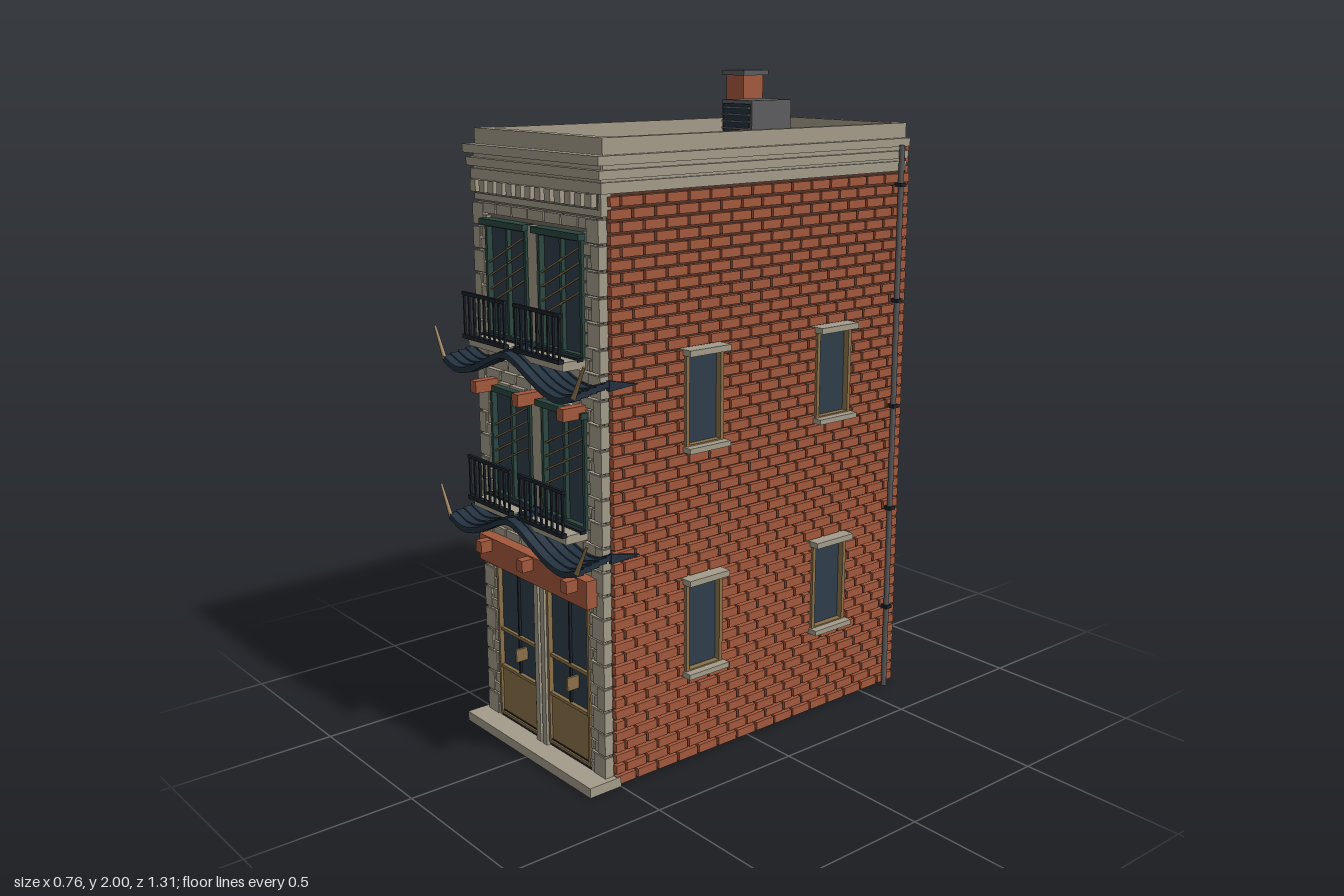
import * as THREE from 'three';
import { mergeGeometries } from 'three/addons/utils/BufferGeometryUtils.js';

const mat = (name, color) => Object.assign(new THREE.MeshStandardMaterial({ color }), { name });

export function createModel() {
  const root = new THREE.Group();
  root.name = 'townhouse';
  const brick = mat('brick', 0xa3583c), mortar = mat('brick mortar', 0x54342a);
  const stone = mat('stone', 0xa39b89), joint = mat('stone joint', 0x716b5f);
  const slate = mat('roof grey', 0x5c5c5e), glass = mat('window glass', 0x2e3d4a);
  const navy = mat('awning navy', 0x22303e), wood = mat('tan wood', 0x8a7048);
  const green = mat('frame green', 0x2a463f), iron = mat('black iron', 0x1b2128);

  const boxGeo = (x0, x1, y0, y1, z0, z1) => new THREE.BoxGeometry(x1 - x0, y1 - y0, z1 - z0)
    .translate((x0 + x1) / 2, (y0 + y1) / 2, (z0 + z1) / 2);
  const add = (name, geo, m, parent = root) => {
    const mesh = new THREE.Mesh(Array.isArray(geo) ? mergeGeometries(geo) : geo, m);
    mesh.name = name;
    parent.add(mesh);
    return mesh;
  };
  const box = (name, m, ...b) => add(name, boxGeo(...b), m);
  // rectangular frame of four bars in the xy plane
  const frameGeo = (x0, x1, y0, y1, z0, z1, t) => [
    boxGeo(x0, x0 + t, y0, y1, z0, z1), boxGeo(x1 - t, x1, y0, y1, z0, z1),
    boxGeo(x0 + t, x1 - t, y0, y0 + t, z0, z1), boxGeo(x0 + t, x1 - t, y1 - t, y1, z0, z1)];

  // running-bond courses in the xy plane, cut around openings [x0, x1, y0, y1]
  const courses = (x0, x1, y0, y1, holes, depth, pitch, len, gap) => {
    const out = [], rows = Math.round((y1 - y0) / pitch), h = (y1 - y0) / rows;
    for (let r = 0; r < rows; r++) {
      const b = y0 + r * h, mid = b + h / 2;
      for (let x = x0 - (r % 2) * len / 2; x < x1; x += len) {
        let spans = [[Math.max(x, x0), Math.min(x + len - gap, x1)]];
        for (const [h0, h1, v0, v1] of holes) {
          if (mid < v0 || mid > v1) continue;
          spans = spans.flatMap(([a, c]) => (c <= h0 || a >= h1) ? [[a, c]] : [[a, Math.min(c, h0)], [Math.max(a, h1), c]]);
        }
        for (const [a, c] of spans) if (c - a > 0.006) out.push(boxGeo(a, c, b, b + h - gap, 0, depth));
      }
    }
    return mergeGeometries(out);
  };

  // body, ground slab and flat roof
  box('wallCore', mortar, -0.306, 0.306, 0.004, 1.75, -0.64, 0.513);
  box('groundSlab', stone, -0.305, 0.305, 0, 0.02, -0.638, 0.51);
  box('doorStep', stone, -0.325, 0.325, 0, 0.03, 0.5, 0.61);
  box('roof', slate, -0.29, 0.29, 1.74, 1.76, -0.62, 0.5);

  // brick side and back walls with windows
  const floors = [[0.28, 0.57], [0.965, 1.247]];
  const sideWindows = [[0.12, 0.26], [-0.4, -0.255]];
  for (const s of [1, -1]) {
    const side = new THREE.Group();
    side.name = s > 0 ? 'leftWall' : 'rightWall';
    side.rotation.y = s * Math.PI / 2;
    side.position.x = s * 0.306;
    root.add(side);
    const holes = [];
    for (const [z0, z1] of sideWindows) for (const [y0, y1] of floors) {
      const u0 = s > 0 ? -z1 : z0, u1 = s > 0 ? -z0 : z1;
      holes.push([u0, u1, y0, y1]);
      add('sideGlass', boxGeo(u0, u1, y0, y1, 0, 0.004), glass, side);
      add('sideFrame', frameGeo(u0, u1, y0, y1, 0, 0.024, 0.012), wood, side);
      add('sideLintel', boxGeo(u0 - 0.006, u1 + 0.006, y1 - 0.01, y1 + 0.008, 0, 0.049), stone, side);
      add('sideSill', boxGeo(u0 - 0.006, u1 + 0.006, y0 - 0.008, y0 + 0.008, 0, 0.049), stone, side);
    }
    const ends = s > 0 ? [-0.513, 0.645] : [-0.645, 0.513];
    add('sideBricks', courses(...ends, 0.006, 1.7, holes, 0.016, 0.034, 0.078, 0.008), brick, side);

    // downpipe with clips
    add('downpipe', new THREE.CylinderGeometry(0.009, 0.009, 1.78, 10).translate(s * 0.335, 0.89, -0.595), slate);
    add('pipeClips', [0.28, 0.62, 0.96, 1.3, 1.66].map(y =>
      boxGeo(s * 0.333 - 0.014, s * 0.333 + 0.014, y - 0.006, y + 0.006, -0.607, -0.583)), iron);
  }
  const back = new THREE.Group();
  back.name = 'backWall';
  back.rotation.y = Math.PI;
  back.position.z = -0.64;
  root.add(back);
  const backHoles = floors.map(f => [-0.09, 0.09, ...f]);
  backHoles.forEach(h => add('backGlass', boxGeo(...h, 0, 0.005), glass, back));
  add('backBricks', courses(-0.31, 0.31, 0.006, 1.79, backHoles, 0.014, 0.034, 0.078, 0.008), brick, back);

  // stone front
  const bays = [[-0.237, -0.028], [0.028, 0.237]];
  const frontRows = [[0.03, 0.55], [0.76, 1.09], [1.25, 1.59]];
  box('frontBacking', joint, -0.303, 0.303, 0.02, 1.7, 0.505, 0.525);
  const frontHoles = bays.flatMap(b => frontRows.map(f => [...b, ...f]));
  frontHoles.push([-0.03, 0.03, 0.03, 1.6]);
  add('frontStones', courses(-0.305, 0.305, 0.03, 1.64, frontHoles, 0.016, 0.035, 0.08, 0.006).translate(0, 0, 0.524), stone);
  for (const s of [1, -1]) {
    const quoins = [];
    for (let i = 0; i < 23; i++) {
      const w = i % 2 ? 0.035 : 0.055;
      quoins.push(boxGeo(s > 0 ? 0.308 - w : -0.308, s > 0 ? 0.308 : w - 0.308, 0.03 + i * 0.07, 0.092 + i * 0.07, 0.515, 0.543));
    }
    add('cornerQuoins', quoins, stone);
    box('doorPilaster', stone, s * 0.016 - 0.01, s * 0.016 + 0.01, 0.03, 0.55, 0.52, 0.552);
  }
  for (const y of [0.76, 1.25]) box('windowPier', stone, -0.022, 0.022, y, y + 0.34, 0.52, 0.545);

  // cornice, dentils and parapet
  for (const [y0, y1, x, z] of [[1.7, 1.73, 0.318, 0.54], [1.738, 1.762, 0.325, 0.55], [1.775, 1.8, 0.331, 0.558], [1.64, 1.795, 0.309, 0.534]]) {
    box('corniceFront', stone, -x, x, y0, y1, 0.5, z);
    const b = Math.max(y0, 1.7);
    for (const s of [1, -1]) box('corniceSide', stone, Math.min(s * 0.29, s * x), Math.max(s * 0.29, s * x), b, y1, -0.635, 0.5);
  }
  const dentils = [];
  for (let i = 0; i < 13; i++) {
    const x = -0.282 + i * 0.047;
    dentils.push(boxGeo(x - 0.014, x + 0.014, 1.665, 1.7, 0.53, 0.556));
  }
  add('dentils', dentils, stone);
  box('dentilBed', joint, -0.3, 0.3, 1.658, 1.7, 0.53, 0.538);
  add('parapet', [boxGeo(-0.31, 0.31, 1.74, 1.845, 0.49, 0.528), boxGeo(-0.31, 0.31, 1.74, 1.845, -0.638, -0.61),
    boxGeo(-0.31, -0.284, 1.74, 1.845, -0.61, 0.49), boxGeo(0.284, 0.31, 1.74, 1.845, -0.61, 0.49)], stone);

  // chimney and roof unit
  box('chimney', brick, -0.194, -0.114, 1.75, 1.985, -0.428, -0.345);
  box('chimneyCap', slate, -0.205, -0.102, 1.984, 2, -0.44, -0.335);
  box('roofUnit', slate, 0.045, 0.175, 1.755, 1.92, -0.275, -0.118);
  box('roofUnitGrille', navy, 0.052, 0.168, 1.765, 1.91, -0.118, -0.114);
  add('grilleSlats', [0, 1, 2, 3, 4, 5, 6].map(i => boxGeo(0.052, 0.168, 1.775 + i * 0.02, 1.781 + i * 0.02, -0.115, -0.109)), slate);

  // double doors
  for (const [x0, x1] of bays) {
    const c = (x0 + x1) / 2;
    box('doorGlass', glass, x0, x1, 0.2, 0.55, 0.522, 0.53);
    box('doorPanel', wood, x0, x1, 0.05, 0.2, 0.522, 0.537);
    box('doorThreshold', iron, x0, x1, 0.03, 0.052, 0.522, 0.54);
    add('doorFrame', frameGeo(x0, x1, 0.04, 0.55, 0.52, 0.545, 0.009), wood);
    add('doorRails', [boxGeo(x0, x1, 0.318, 0.328, 0.52, 0.54), boxGeo(x0, x1, 0.195, 0.205, 0.52, 0.542)], wood);
    box('doorSplit', iron, c - 0.003, c + 0.003, 0.2, 0.55, 0.525, 0.538);
    box('doorHandle', wood, c + 0.026, c + 0.034, 0.26, 0.3, 0.53, 0.57);
  }

  // fascia board and beam ends
  box('fasciaBoard', brick, -0.275, 0.278, 0.547, 0.63, 0.52, 0.578);
  for (const y of [0.59, 1.085]) for (const x of [-0.22, 0, 0.22])
    box('beamEnd', brick, x - 0.015, x + 0.015, y, y + 0.036, 0.52, 0.616);

  // upper windows, balconies and swept eaves
  for (const y of [0.76, 1.25]) {
    for (const [x0, x1] of bays) {
      const c = (x0 + x1) / 2, top = y + 0.33;
      box('windowGlass', glass, x0, x1, y, top, 0.522, 0.53);
      add('windowFrame', [...frameGeo(x0, x1, y, top, 0.52, 0.548, 0.011), boxGeo(c - 0.005, c + 0.005, y, top, 0.52, 0.543)], green);
      box('windowHood', green, x0 - 0.008, x1 + 0.008, top - 0.006, top + 0.012, 0.52, 0.563);
      // slanted lattice strips
      add('windowLattice', [0.14, 0.18, 0.22, 0.26].map(d =>
        new THREE.BoxGeometry(0.205, 0.005, 0.004).rotateZ(0.45).translate(c, y + d, 0.541)), wood);
      // balcony slab and railing
      box('balconySlab', stone, x0, x1, y - 0.025, y, 0.53, 0.615);
      const bars = [boxGeo(x0 - 0.006, x1 + 0.006, y + 0.125, y + 0.135, 0.62, 0.63), boxGeo(x0 - 0.006, x1 + 0.006, y - 0.002, y + 0.01, 0.615, 0.632),
        boxGeo(x0 - 0.006, x1 + 0.006, y - 0.004, y + 0.006, 0.55, 0.568)];
      for (let i = 0; i <= 8; i++) {
        const x = x0 + (x1 - x0) * i / 8;
        bars.push(boxGeo(x - 0.003, x + 0.003, y, y + 0.13, 0.622, 0.628));
      }
      add('balconyRailing', bars, iron);
    }
    // eave: stepped courses along one swept curve
    const half = [[0, 0], [0.05, -0.012], [0.12, -0.044], [0.19, -0.072], [0.26, -0.082], [0.33, -0.062]];
    const curve = new THREE.CatmullRomCurve3([...half.slice(1).reverse().map(([x, v]) => [-x, v]), ...half]
      .map(([x, v]) => new THREE.Vector3(x, v, 0))).getPoints(40);
    const shape = new THREE.Shape([...curve.map(p => new THREE.Vector2(p.x, p.y)),
      ...curve.slice().reverse().map(p => new THREE.Vector2(p.x, p.y - 0.018))]);
    for (let k = 0; k < 5; k++)
      add('eaveCourse', new THREE.ExtrudeGeometry(shape, { depth: 0.027, bevelEnabled: false })
        .translate(0, y + 0.016 - k * 0.005, 0.518 + k * 0.0262), navy);
    for (const s of [1, -1]) {
      // tapered return along the side wall
      const tail = new THREE.Shape([new THREE.Vector2(-0.53, y - 0.075), new THREE.Vector2(-0.53, y - 0.045), new THREE.Vector2(-0.43, y - 0.068)]);
      add('eaveReturn', new THREE.ExtrudeGeometry(tail, { depth: 0.012, bevelEnabled: false })
        .rotateY(Math.PI / 2).translate(s * 0.325 - 0.006, 0, 0), navy);
      // upturned tip
      add('eaveTip', new THREE.CylinderGeometry(0.004, 0.007, 0.105, 8).rotateZ(-s * 0.5).translate(s * 0.351, y - 0.03, 0.645), wood);
    }
  }
  return root;
}
